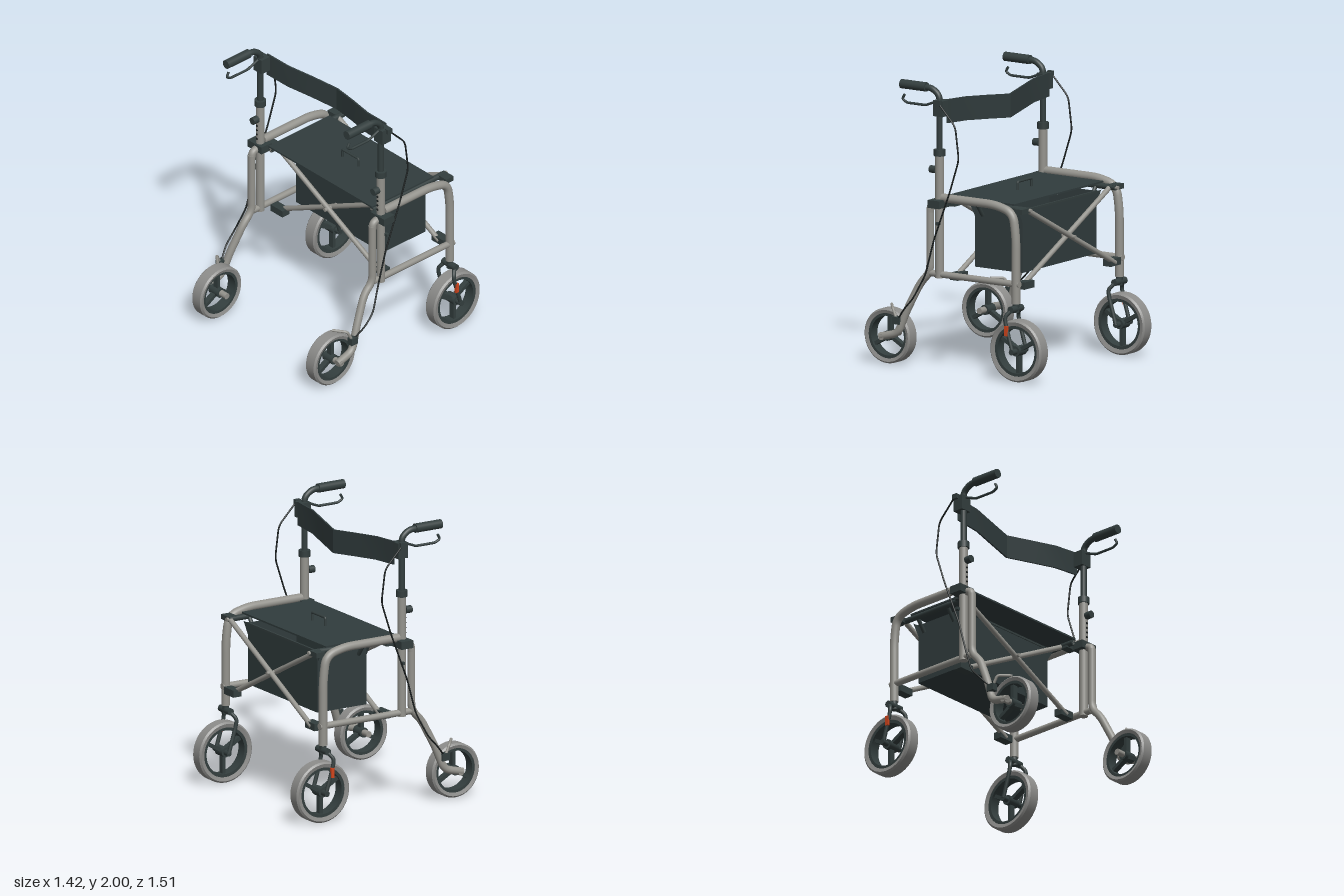
import * as THREE from 'three';
import { mergeGeometries, toCreasedNormals } from 'three/addons/utils/BufferGeometryUtils.js';

const material = (name, color, side = THREE.FrontSide) => {
  const m = new THREE.MeshStandardMaterial({ color, side });
  m.name = name;
  return m;
};

export function createModel() {
  const model = new THREE.Group();
  model.name = 'rollator';
  const alu = material('aluminium', 0x94938d);
  const rubber = material('tyre grey', 0x8d8d8b);
  const dark = material('dark plastic', 0x333e3e);
  const fabric = material('fabric', 0x313c3d, THREE.DoubleSide);
  const black = material('cable black', 0x1a1f1f);
  const orange = material('orange', 0xd2451c);

  const V = (p) => new THREE.Vector3(...p);
  function add(name, geometry, mat) {
    const mesh = new THREE.Mesh(geometry, mat);
    mesh.name = name;
    model.add(mesh);
    return mesh;
  }
  const box = (name, size, pos, mat) => {
    const m = add(name, new THREE.BoxGeometry(...size), mat);
    m.position.set(...pos);
    return m;
  };
  // Straight round bar between two points
  function bar(name, a, b, r, mat, sides = 20) {
    const p = V(a), q = V(b), d = q.clone().sub(p);
    const m = add(name, new THREE.CylinderGeometry(r, r, d.length(), sides), mat);
    m.position.copy(p).add(q).multiplyScalar(0.5);
    m.quaternion.setFromUnitVectors(new THREE.Vector3(0, 1, 0), d.normalize());
    return m;
  }
  // Capped tube along straight runs with rounded bends
  function tube(name, points, r, bend, mat, sides = 16, steps = 48) {
    const pts = points.map(V), path = new THREE.CurvePath();
    let from = pts[0];
    for (let i = 1; i < pts.length - 1; i++) {
      const c = pts[i], before = pts[i - 1], after = pts[i + 1];
      const k = Math.min(bend, c.distanceTo(before) * 0.45, c.distanceTo(after) * 0.45);
      const a = c.clone().add(before.clone().sub(c).setLength(k));
      const b = c.clone().add(after.clone().sub(c).setLength(k));
      path.add(new THREE.LineCurve3(from, a));
      path.add(new THREE.QuadraticBezierCurve3(a, c, b));
      from = b;
    }
    path.add(new THREE.LineCurve3(from, pts.at(-1)));
    const cap = (p, inner) => new THREE.CircleGeometry(r, sides)
      .applyQuaternion(new THREE.Quaternion().setFromUnitVectors(
        new THREE.Vector3(0, 0, 1), p.clone().sub(inner).normalize()))
      .translate(p.x, p.y, p.z);
    return add(name, mergeGeometries([
      new THREE.TubeGeometry(path, steps, r, sides), cap(pts[0], pts[1]), cap(pts.at(-1), pts.at(-2)),
    ]), mat);
  }
  // Ring around the x axis from a closed (radius, width) profile
  function ring(name, profile, pos, mat) {
    const pts = [...profile, profile[0]].map((p) => new THREE.Vector2(...p));
    const geo = toCreasedNormals(new THREE.LatheGeometry(pts, 44).rotateZ(Math.PI / 2), 0.45);
    add(name, geo, mat).position.set(...pos);
  }
  function wheel(name, x, y, z, R, turn) {
    const inner = R * 0.82, rim = R * 0.72, w = 0.05;
    ring(name + 'Tyre', [[inner, -w * 0.85], [R - 0.012, -w], [R, -w + 0.012],
      [R, w - 0.012], [R - 0.012, w], [inner, w * 0.85]], [x, y, z], rubber);
    ring(name + 'Rim', [[rim, -0.038], [inner + 0.002, -0.038], [inner + 0.002, 0.038], [rim, 0.038]], [x, y, z], dark);
    bar(name + 'Hub', [x - 0.045, y, z], [x + 0.045, y, z], 0.035, dark);
    for (let i = 0; i < 3; i++) {
      const a = turn + i * Math.PI * 2 / 3, d = R * 0.38;
      const spoke = box(name + 'Spoke', [0.04, R * 0.76, 0.026],
        [x, y + Math.cos(a) * d, z + Math.sin(a) * d], dark);
      spoke.rotation.x = a;
    }
  }

  for (const s of [1, -1]) {
    const X = 0.61 * s;
    // Side frame
    bar('uprightTube', [X, 0.65, 0.127], [X, 1.52, 0.127], 0.03, alu);
    tube('frontLeg', [[X, 1.13, 0.206], [X, 0.68, 0.206], [X, 0.6, 0.285], [0.64 * s, 0.4, 0.38],
      [0.66 * s, 0.235, 0.44], [0.667 * s, 0.2, 0.585]], 0.027, 0.05, alu, 16, 64);
    tube('frontLegTop', [[X, 1.1, 0.206], [X, 1.15, 0.2], [X, 1.17, 0.13]], 0.027, 0.03, alu);
    tube('upperRailAndRearLeg', [[X, 1.21, 0.1], [X, 1.21, -0.34], [X, 1.17, -0.49],
      [X, 1.0, -0.515], [X, 0.54, -0.515]], 0.03, 0.1, alu, 20, 64);
    bar('lowerRail', [X, 0.675, 0.2], [X, 0.675, -0.545], 0.023, alu);
    box('frameCollar', [0.14, 0.055, 0.095], [0.62 * s, 1.172, 0.122], dark);
    box('collarHinge', [0.09, 0.04, 0.06], [0.54 * s, 1.172, 0.05], dark);

    // Height-adjustable handle
    tube('handlePost', [[X, 1.5, 0.127], [X, 1.92, 0.127], [X, 1.965, 0.19], [X, 1.965, 0.26]], 0.022, 0.06, dark);
    bar('grip', [X, 1.967, 0.235], [X, 1.967, 0.445], 0.032, dark, 24);
    bar('postCollar', [X, 1.5, 0.127], [X, 1.545, 0.127], 0.04, dark);
    bar('heightKnobStem', [X, 1.4, 0.127], [X, 1.4, 0.175], 0.012, dark);
    bar('heightKnob', [X, 1.4, 0.155], [X, 1.4, 0.202], 0.026, dark);
    for (let i = 0; i < 4; i++) {
      const y = 1.345 - i * 0.035;
      bar('heightHole', [X, y, 0.14], [X, y, 0.16], 0.008, black, 10);
    }
    box('handleBracket', [0.085, 0.11, 0.08], [X, 1.835, 0.112], dark);
    box('cableStop', [0.03, 0.035, 0.04], [0.66 * s, 1.88, 0.1], dark);
    tube('brakeLever', [[X, 1.88, 0.14], [X, 1.84, 0.243], [X, 1.84, 0.4], [X, 1.862, 0.44],
      [X, 1.895, 0.42]], 0.009, 0.015, dark, 10);
    tube('brakeCable', [[0.667 * s, 1.88, 0.1], [0.667 * s, 1.73, -0.045], [0.667 * s, 1.5, -0.075],
      [0.667 * s, 1.27, 0], [0.667 * s, 0.92, 0.135], [0.667 * s, 0.67, 0.205], [0.703 * s, 0.5, 0.285],
      [0.703 * s, 0.42, 0.36], [0.667 * s, 0.33, 0.44]], 0.006, 0.04, black, 8, 80);
    box('cableClip', [0.03, 0.02, 0.02], [0.65 * s, 1.035, 0.11], dark);

    // Front wheel and parking brake
    wheel('front', 0.575 * s, 0.198, 0.563, 0.192, 0);
    bar('frontAxle', [0.69 * s, 0.2, 0.563], [0.47 * s, 0.2, 0.563], 0.022, alu);
    box('brakeBlock', [0.045, 0.05, 0.06], [0.667 * s, 0.327, 0.44], dark);
    tube('brakeShoe', [[0.667 * s, 0.34, 0.45], [0.66 * s, 0.41, 0.485], [0.58 * s, 0.415, 0.55]],
      0.01, 0.02, alu, 10);

    // Rear caster
    wheel('rear', X, 0.217, -0.542, 0.215, Math.PI / 3);
    bar('casterStem', [X, 0.48, -0.515], [X, 0.55, -0.515], 0.023, dark);
    bar('forkBridge', [0.545 * s, 0.505, -0.515], [0.675 * s, 0.505, -0.515], 0.024, dark);
    for (const side of [-1, 1]) {
      const fx = X + side * 0.08;
      tube('forkArm', [[X + side * 0.045, 0.505, -0.515], [fx, 0.455, -0.477], [fx, 0.4, -0.487],
        [fx, 0.217, -0.542]], 0.014, 0.025, dark, 12);
    }
    bar('rearAxle', [0.525 * s, 0.217, -0.542], [0.705 * s, 0.217, -0.542], 0.02, dark);
    box('reflector', [0.018, 0.07, 0.026], [0.7 * s, 0.362, -0.497], orange);

    // Seat rail with bag straps
    bar('seatRail', [0.512 * s, 1.178, 0.12], [0.512 * s, 1.178, -0.575], 0.014, alu);
    bar('seatRailSleeve', [0.512 * s, 1.178, 0.12], [0.512 * s, 1.178, -0.555], 0.02, dark);
    box('rearRailClamp', [0.1, 0.035, 0.07], [0.55 * s, 1.178, -0.525], dark);
    for (const z of [-0.115, -0.39])
      bar('bagStrap', [0.44 * s, 1.085, z], [0.505 * s, 1.17, z], 0.014, dark, 12);
    for (const z of [0.035, -0.525])
      box('braceClamp', [0.12, 0.05, 0.065], [0.51 * s, 0.66, z], dark);
  }

  // Crossed folding braces, front and rear
  for (const z of [0.035, -0.525]) {
    for (const s of [1, -1])
      bar('crossBrace', [-0.515 * s, 1.178, z + s * 0.02], [0.515 * s, 0.655, z + s * 0.02], 0.018, alu);
    bar('bracePivot', [0, 0.917, z - 0.055], [0, 0.917, z + 0.055], 0.013, alu);
  }

  // Seat with lifting handle
  box('seat', [1.05, 0.012, 0.57], [0, 1.205, -0.155], fabric);
  tube('seatHandle', [[-0.082, 1.205, -0.153], [-0.082, 1.268, -0.153], [0.082, 1.268, -0.153],
    [0.082, 1.205, -0.153]], 0.009, 0.012, dark, 10);

  // Storage bag, open at the top
  const W = 0.435, z0 = -0.445, z1 = -0.05;
  for (const z of [z0, z1]) box('bagPanel', [2 * W, 0.435, 0.008], [0, 0.9375, z], fabric);
  for (const s of [1, -1]) box('bagSide', [0.008, 0.435, z1 - z0], [s * W, 0.9375, (z0 + z1) / 2], fabric);
  box('bagBase', [2 * W, 0.008, z1 - z0], [0, 0.724, (z0 + z1) / 2], fabric);
  for (const z of [z0 - 0.003, z1 + 0.003]) {
    box('bagRim', [2 * W + 0.01, 0.014, 0.014], [0, 1.152, z], dark);
    for (const s of [1, -1]) {
      const flare = new THREE.Shape([[W, 1.155], [W, 1.07], [0.49, 1.155]].map(([x, y]) => new THREE.Vector2(s * x, y)));
      add('bagFlare', new THREE.ShapeGeometry(flare), fabric).position.z = z;
    }
  }

  // Bowed backrest strap built from vertical cross-sections
  const stations = [[-0.6, 1.815, 0.07], [-0.4, 1.805, 0.058], [-0.2, 1.79, 0.012], [0, 1.772, -0.03],
    [0.2, 1.79, 0.012], [0.4, 1.805, 0.058], [0.6, 1.815, 0.07]];
  const pos = [], idx = [];
  stations.forEach(([x, y, z], i) => {
    for (const [dy, dz] of [[-0.083, 0.006], [0.083, 0.006], [0.083, -0.006], [-0.083, -0.006]])
      pos.push(x, y + dy, z + dz);
    if (!i) return;
    for (let k = 0; k < 4; k++) {
      const a = (i - 1) * 4 + k, b = (i - 1) * 4 + (k + 1) % 4;
      idx.push(a, a + 4, b, b, a + 4, b + 4);
    }
  });
  const strap = new THREE.BufferGeometry();
  strap.setAttribute('position', new THREE.Float32BufferAttribute(pos, 3));
  strap.setIndex(idx);
  add('backrest', toCreasedNormals(strap, 0.4), fabric);

  return model;
}
